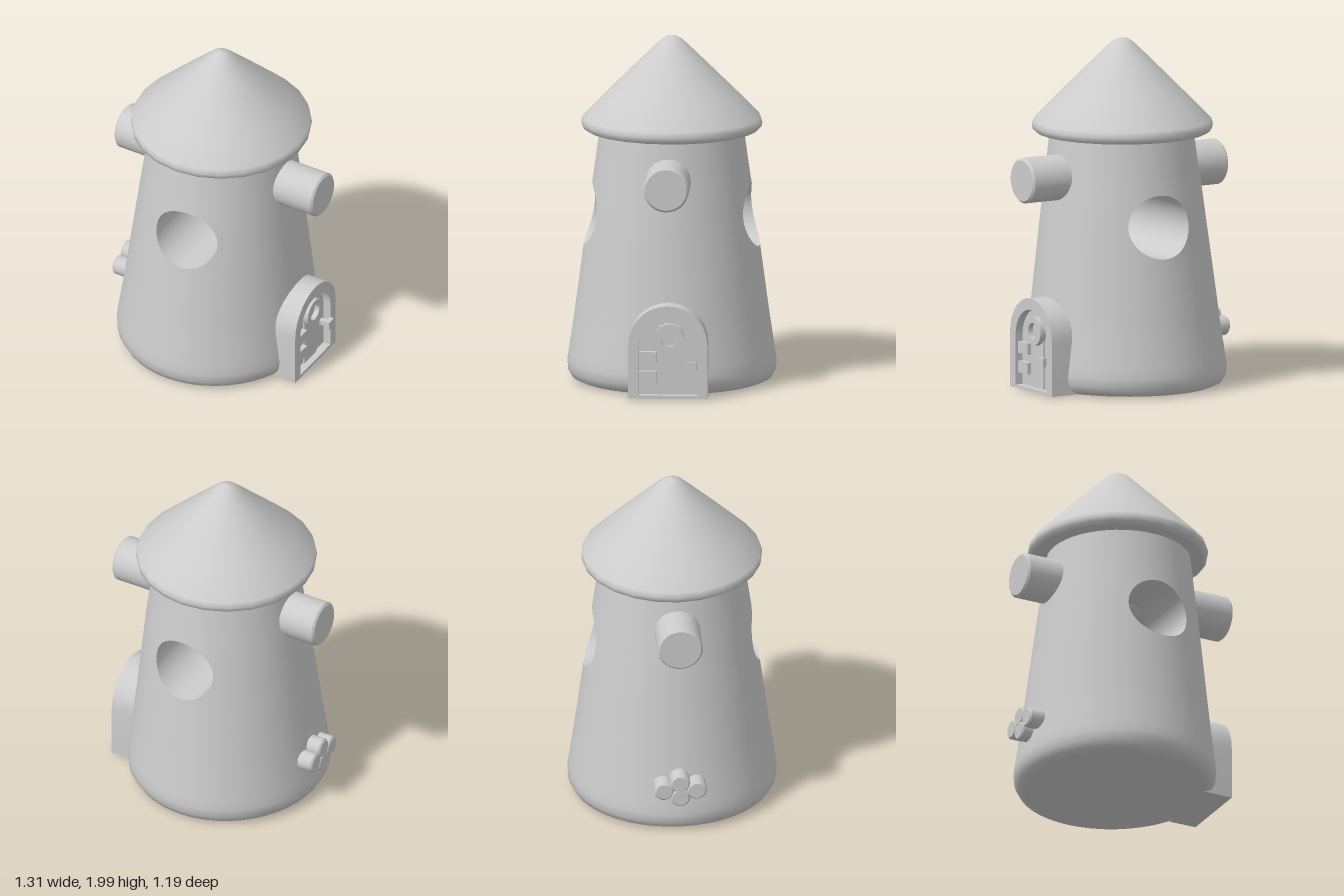
import * as THREE from 'three';
import { mergeVertices, toCreasedNormals } from 'three/addons/utils/BufferGeometryUtils.js';

const stone = new THREE.MeshStandardMaterial({ color: 0xcccccc });
stone.name = 'plainGrey';

const SEG = 48, Y0 = 0.12, Y1 = 1.47;
const hole = { x: 0.01, y: 0.97, rx: 0.192, ry: 0.18 };

// Tower radius by height, linearly interpolated
const profile = [[0.12, 0.595], [0.4, 0.553], [0.8, 0.5], [1.1, 0.46], [1.25, 0.438], [1.47, 0.408]];
function radius(y) {
  let i = 0;
  while (i < profile.length - 2 && y > profile[i + 1][0]) i++;
  const [a, b] = [profile[i], profile[i + 1]];
  return THREE.MathUtils.mapLinear(y, a[0], b[0], a[1], b[1]);
}
const lean = (y) => 1 - y / 1.46;
const centreX = (y) => -0.015 - 0.025 * lean(y);
const squash = (y) => 0.025 * lean(y);
function wallPoint(phi, y, r = radius(y)) {
  return [centreX(y) + (r - squash(y)) * Math.sin(phi), y, r * Math.cos(phi)];
}

// Smooth surface from a list of quads
function quadSurface(quads) {
  const pos = [];
  for (const [a, b, c, d] of quads) pos.push(...a, ...b, ...c, ...a, ...c, ...d);
  const g = new THREE.BufferGeometry();
  g.setAttribute('position', new THREE.Float32BufferAttribute(pos, 3));
  const merged = mergeVertices(g, 1e-4);
  merged.computeVertexNormals();
  return merged;
}
function grid(rows, quads) {
  for (let i = 0; i < rows.length - 1; i++)
    for (let j = 0; j < rows[i].length - 1; j++)
      quads.push([rows[i][j], rows[i + 1][j], rows[i + 1][j + 1], rows[i][j + 1]]);
}

// Edge of one unrolled half wall, counter-clockwise
function halfWallEdge() {
  const pts = [], n = SEG / 2, m = 16, h = Math.PI / 2;
  for (let i = 0; i < n; i++) pts.push([-h + (Math.PI * i) / n, Y0]);
  for (let i = 0; i < m; i++) pts.push([h, Y0 + ((Y1 - Y0) * i) / m]);
  for (let i = 0; i < n; i++) pts.push([h - (Math.PI * i) / n, Y1]);
  for (let i = 0; i <= m; i++) pts.push([-h, Y1 - ((Y1 - Y0) * i) / m]);
  return pts;
}
function holeEdge(phi, y, side) {
  const t = Math.atan2(y - hole.y, phi * 0.47);
  const hy = hole.y + hole.ry * Math.sin(t);
  const dx = side * (hole.x - centreX(hy)) + hole.rx * Math.cos(t);
  return [Math.asin(dx / (radius(hy) - squash(hy))), hy];
}

function towerWall() {
  const quads = [], edge = halfWallEdge(), RINGS = 12;
  for (const side of [1, -1]) {
    const rows = [];
    for (let k = 0; k <= RINGS; k++) {
      const f = k / RINGS;
      rows.push(edge.map(([p, y]) => {
        const [hp, hy] = holeEdge(p, y, side);
        return wallPoint(hp + (p - hp) * f + (side < 0 ? Math.PI : 0), hy + (y - hy) * f);
      }));
    }
    grid(rows, quads);
  }
  // rounded foot and underside
  const foot = [[Y0, radius(Y0)], [0.07, 0.592], [0.03, 0.57], [0.012, 0.53], [0.008, 0.47], [0.008, 0.03]];
  const rows = foot.map(([y, r]) => {
    const row = [];
    for (let j = 0; j <= SEG; j++) row.push(wallPoint(-Math.PI / 2 + (j / SEG) * Math.PI * 2, y, r));
    return row;
  });
  rows.push(rows[0].map(() => [centreX(0), 0.008, 0]));
  grid(rows, quads);
  return quadSurface(quads);
}

// Passage joining the front and back openings
function tunnel() {
  const front = halfWallEdge().map(([p, y]) => wallPoint(...holeEdge(p, y, 1)));
  const back = front.map(([x, y, z]) => [x, y, -z]);
  const quads = [];
  grid([back, front], quads);
  return quadSurface(quads);
}

// Extrude a shape drawn in (-z, y) along x, from x0 to x1
function extrudeX(shape, x0, x1, bevel = 0, curveSegments = 7) {
  const g = new THREE.ExtrudeGeometry(shape, {
    depth: x1 - x0 - 2 * bevel, curveSegments, bevelEnabled: bevel > 0,
    bevelSize: bevel, bevelThickness: bevel, bevelOffset: -bevel, bevelSegments: 1,
  });
  g.translate(0, 0, x0 + bevel).rotateY(Math.PI / 2);
  return toCreasedNormals(g, 0.6);
}
function arch(Type, a0, a1, bottom, top) {
  const s = new Type(), r = (a1 - a0) / 2, c = (a0 + a1) / 2;
  s.moveTo(a0, bottom);
  s.lineTo(a1, bottom);
  s.lineTo(a1, top - r);
  s.absarc(c, top - r, r, 0, Math.PI, false);
  s.lineTo(a0, bottom);
  return s;
}
function disc(r, a = 0, y = 0) {
  const s = new THREE.Shape();
  s.absarc(a, y, r, 0, Math.PI * 2, false);
  return s;
}

export function createModel() {
  const model = new THREE.Group();
  model.name = 'tower';
  const add = (name, geometry, parent = model, x = 0, y = 0, z = 0) => {
    const m = new THREE.Mesh(geometry, stone);
    m.name = name;
    m.position.set(x, y, z);
    parent.add(m);
    return m;
  };
  const box = (name, parent, w, h, d, x, y, z) => add(name, new THREE.BoxGeometry(w, h, d), parent, x, y, z);

  add('towerWall', towerWall());
  add('tunnel', tunnel());

  // Conical roof with a blunt tip and rolled rim
  const roof = [[0.49, 1.46], [0.51, 1.475], [0.515, 1.5], [0.507, 1.53], [0.4, 1.64], [0.25, 1.79],
    [0.1, 1.938], [0.06, 1.975], [0.03, 1.993], [0, 2]].map(([x, y]) => new THREE.Vector2(x, y));
  add('roof', new THREE.LatheGeometry(roof, 24), model, -0.02);
  add('roofUnderside', new THREE.CircleGeometry(0.49, 24).rotateX(Math.PI / 2).rotateY(Math.PI / 2), model, -0.02, 1.46);

  // Crossing log
  add('log', extrudeX(disc(0.13), -0.655, 0.655, 0.012, 14), model, 0, 1.23, 0);

  // Arched door on the left side
  const door = new THREE.Group();
  door.name = 'door';
  model.add(door);
  const frame = arch(THREE.Shape, -0.218, 0.232, 0.012, 0.548);
  frame.holes.push(arch(THREE.Path, -0.158, 0.175, 0.03, 0.483));
  add('doorFrame', extrudeX(frame, 0.43, 0.597), door);
  add('doorLeaf', extrudeX(arch(THREE.Shape, -0.16, 0.177, 0.02, 0.485), 0.43, 0.55), door);
  box('doorPlank', door, 0.02, 0.4, 0.13, 0.55, 0.23, -0.015);
  for (const y of [0.133, 0.245]) box('hinge', door, 0.03, 0.066, 0.1, 0.565, y, 0.107);
  const ring = disc(0.083);
  ring.holes.push(new THREE.Path().absarc(0, 0, 0.048, 0, Math.PI * 2, true));
  add('doorWindowRing', extrudeX(ring, 0.54, 0.59, 0, 7), door, 0, 0.36, -0.015);
  box('knobStem', door, 0.06, 0.03, 0.03, 0.575, 0.2, -0.145);
  box('knob', door, 0.025, 0.052, 0.055, 0.608, 0.202, -0.145);

  // Flower-like cluster of pegs on the right side
  const flower = new THREE.Group();
  flower.name = 'flower';
  model.add(flower);
  for (const [y, z] of [[0.3, 0.095], [0.3, -0.092], [0.345, 0], [0.255, 0]])
    add('petal', extrudeX(disc(0.057), -0.655, -0.5, 0.01, 7), flower, 0, y, z);

  return model;
}
